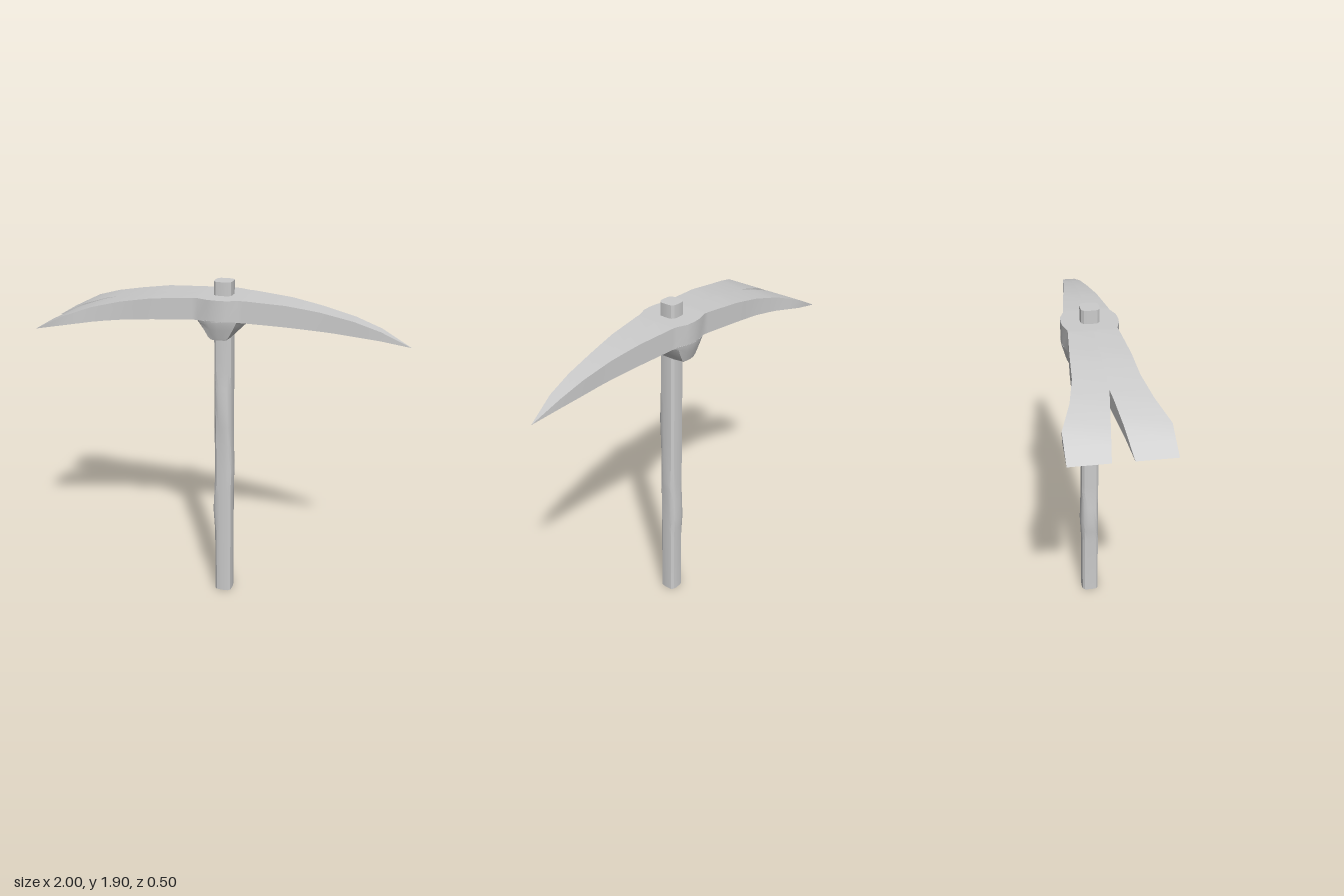
import * as THREE from 'three';
import { toCreasedNormals } from 'three/addons/utils/BufferGeometryUtils.js';

const material = new THREE.MeshStandardMaterial({ color: 0xcccccc, side: THREE.DoubleSide });

// Piecewise-linear lookup in a list of [key, value] pairs
function sample(points, k) {
  let i = 0;
  while (i < points.length - 2 && k > points[i + 1][0]) i++;
  const [k0, v0] = points[i], [k1, v1] = points[i + 1];
  return v0 + (v1 - v0) * THREE.MathUtils.clamp((k - k0) / (k1 - k0), 0, 1);
}

function mesh(name, geometry) {
  const m = new THREE.Mesh(geometry, material);
  m.name = name;
  return m;
}

function buffer(positions, index) {
  const g = new THREE.BufferGeometry();
  g.setAttribute('position', new THREE.Float32BufferAttribute(positions.flat(), 3));
  g.setIndex(index);
  g.computeVertexNormals();
  return g;
}

// Closed loft through horizontal rings listed from bottom to top
function loft(rings, crease) {
  const n = rings[0].length, last = (rings.length - 1) * n, index = [];
  for (let r = 0; r < rings.length - 1; r++) {
    for (let i = 0; i < n; i++) {
      const a = r * n + i, b = r * n + (i + 1) % n;
      index.push(a, a + n, b + n, a, b + n, b);
    }
  }
  for (let i = 1; i < n - 1; i++) {
    index.push(0, i, i + 1, last, last + i + 1, last + i);
  }
  return toCreasedNormals(buffer(rings.flat(), index), crease);
}

// Smooth ribbons, each a list of point pairs, joined with sharp seams
function ribbons(list) {
  const positions = [], index = [];
  for (const pairs of list) {
    const base = positions.length;
    pairs.forEach(([a, b], i) => {
      positions.push(a, b);
      if (i === 0) return;
      const p = base + 2 * i - 2;
      index.push(p, p + 2, p + 3, p, p + 3, p + 1);
    });
  }
  return buffer(positions, index);
}

function createHead() {
  const top = [[-1, 1.625], [-0.84, 1.705], [-0.69, 1.755], [-0.53, 1.79], [-0.36, 1.817], [-0.14, 1.832],
    [0.14, 1.832], [0.36, 1.817], [0.53, 1.79], [0.7, 1.752], [0.84, 1.705], [1, 1.625]];
  const bottom = [[-1, 1.625], [-0.84, 1.657], [-0.6, 1.685], [-0.36, 1.704], [-0.14, 1.715],
    [0.14, 1.715], [0.36, 1.704], [0.6, 1.685], [0.84, 1.657], [1, 1.625]];
  const outer = [[-1, 0.25], [-0.84, 0.25], [-0.69, 0.195], [-0.53, 0.162], [-0.36, 0.15], [-0.11, 0.127],
    [-0.05, 0.146], [0, 0.15], [0.05, 0.146], [0.11, 0.122], [0.35, 0.092], [0.53, 0.067], [0.7, 0.05],
    [0.84, 0.034], [1, 0]];
  const slot = [[-1, 0.052], [-0.84, 0.03], [-0.62, 0]];
  const xs = [-1, -0.92, -0.84, -0.76, -0.69, -0.62, -0.53, -0.44, -0.36, -0.25, -0.14, -0.11, -0.05, 0,
    0.05, 0.11, 0.14, 0.25, 0.35, 0.44, 0.53, 0.61, 0.7, 0.77, 0.84, 0.92, 1];
  const list = [];
  for (const s of [1, -1]) {
    const add = (stations, from, to) => list.push(stations.map((x) => {
      const corners = {
        outerTop: [x, sample(top, x), s * sample(outer, x)],
        outerBottom: [x, sample(bottom, x), s * sample(outer, x)],
        innerTop: [x, sample(top, x), s * sample(slot, x)],
        innerBottom: [x, sample(bottom, x), s * sample(slot, x)],
      };
      return s > 0 ? [corners[from], corners[to]] : [corners[to], corners[from]];
    }));
    add(xs, 'outerTop', 'innerTop');
    add(xs, 'outerBottom', 'outerTop');
    add(xs, 'innerBottom', 'outerBottom');
    add(xs.filter((x) => x <= -0.62), 'innerTop', 'innerBottom');
  }
  return mesh('pickHead', ribbons(list));
}

// Collar under the head: broad at the top, narrowing around the handle
function createSocket() {
  const levels = [ // y, end x, side x, side z, middle z
    [1.61, 0.05, 0.04, 0.115, 0.12],
    [1.625, 0.065, 0.055, 0.117, 0.125],
    [1.67, 0.11, 0.08, 0.122, 0.138],
    [1.7, 0.14, 0.095, 0.126, 0.147],
    [1.72, 0.17, 0.105, 0.126, 0.15],
  ];
  return mesh('socket', loft(levels.map(([y, ex, sx, sz, mz]) => [
    [ex, 0.055], [sx, sz], [sx / 2, mz - 0.003], [0, mz], [-sx / 2, mz - 0.003], [-sx, sz], [-ex, 0.055],
    [-ex, -0.055], [-sx, -sz], [-sx / 2, 0.003 - mz], [0, -mz], [sx / 2, 0.003 - mz], [sx, -sz], [ex, -0.055],
  ].map(([x, z]) => [x, y, z])), 0.6));
}

// Rounded-square shaft with shallow swellings carved along its sides
function createHandle() {
  const bumps = { // extra width by height on each side
    left: [[0.65, 0], [0.8, 0.006], [1.0, 0]],
    right: [[0.4, 0], [0.54, 0.014], [0.75, 0]],
    front: [[0.97, 0], [1.2, 0.013], [1.42, 0]],
    back: [[0.41, 0], [0.55, 0.008], [0.72, 0]],
  };
  const heights = [0, 0.4, 0.47, 0.54, 0.65, 0.75, 0.8, 0.97, 1.08, 1.2, 1.31, 1.42, 1.905];
  const sides = 20;
  const rings = heights.map((y) => Array.from({ length: sides }, (_, i) => {
    const a = (i / sides) * Math.PI * 2, c = Math.cos(a), s = Math.sin(a);
    const r = 0.05 / Math.pow(c ** 4 + s ** 4, 0.25);
    const bx = sample(c > 0 ? bumps.left : bumps.right, y);
    const bz = sample(s > 0 ? bumps.front : bumps.back, y);
    return [c * r + Math.sign(c) * bx * c * c, y, s * r + Math.sign(s) * bz * s * s];
  }));
  return mesh('handle', loft(rings, 0.6));
}

export function createModel() {
  const group = new THREE.Group();
  group.name = 'pickaxe';
  group.add(createHandle(), createSocket(), createHead());
  return group;
}
